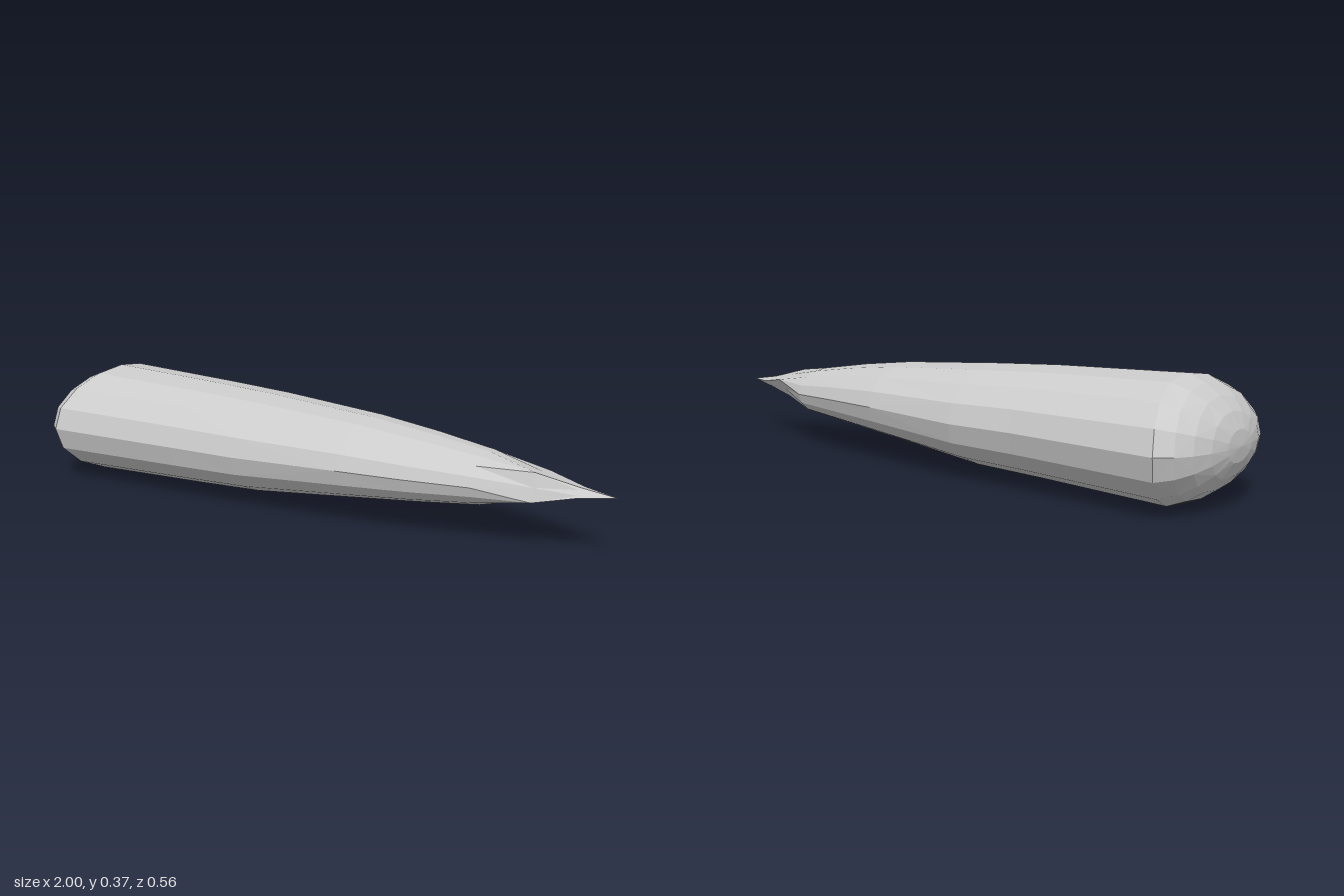
import * as THREE from 'three';

const SIDES = 16;

// Elliptical section from its top, bottom, back and front extents.
// "sweep" pushes the sides toward -x and the top and bottom toward +x.
function ovalRing(x, top, bottom, back, front, sweep = 0) {
  return Array.from({ length: SIDES }, (_, j) => {
    const t = (j / SIDES) * Math.PI * 2;
    return new THREE.Vector3(
      x - sweep * Math.cos(2 * t),
      (top + bottom) / 2 + ((top - bottom) / 2) * Math.sin(t),
      (front + back) / 2 + ((front - back) / 2) * Math.cos(t)
    );
  });
}

// Four-cornered section; corners are [z, y], starting at the upper front.
function quadRing(x, corners) {
  return Array.from({ length: SIDES }, (_, j) => {
    const k = (j + 1 + SIDES - 4) % SIDES;
    const side = Math.floor(k / 4), f = (k % 4) / 4;
    const a = corners[side], b = corners[(side + 1) % 4];
    return new THREE.Vector3(x, a[1] + (b[1] - a[1]) * f, a[0] + (b[0] - a[0]) * f);
  });
}

// Skin consecutive rings; the first and last ring are single points.
function skin(rings) {
  const pos = [];
  const tri = (...pts) => pts.forEach((p) => pos.push(p.x, p.y, p.z));
  for (let i = 0; i < rings.length - 1; i++) {
    for (let j = 0; j < SIDES; j++) {
      const n = (j + 1) % SIDES;
      const a = rings[i][j], b = rings[i][n], c = rings[i + 1][j], d = rings[i + 1][n];
      if (i === 0) tri(b, c, d);
      else if (i === rings.length - 2) tri(a, c, b);
      else if ((i + j) % 2) { tri(a, c, b); tri(b, c, d); }
      else { tri(a, c, d); tri(a, d, b); }
    }
  }
  const geo = new THREE.BufferGeometry();
  geo.setAttribute('position', new THREE.Float32BufferAttribute(pos, 3));
  geo.computeVertexNormals();
  return geo;
}

export function createModel() {
  const group = new THREE.Group();
  group.name = 'taperedSpike';
  const rings = [];

  // Rounded blunt end
  const cy = 0.189;
  for (const [x, s] of [[-1, 0], [-0.995, 0.25], [-0.977, 0.5], [-0.948, 0.71], [-0.91, 0.88], [-0.86, 1]]) {
    rings.push(ovalRing(x, cy + 0.186 * s, cy - 0.186 * s, -0.283 * s, 0.282 * s, 0.03 * s * s));
  }

  // Tapering body: x, top, bottom, back, front
  for (const r of [
    [-0.4, 0.36, 0.017, -0.25, 0.255],
    [-0.17, 0.347, 0.025, -0.244, 0.238],
    [0.2, 0.32, 0.065, -0.207, 0.205],
    [0.4, 0.296, 0.085, -0.177, 0.173],
    [0.6, 0.265, 0.105, -0.14, 0.12],
  ]) rings.push(ovalRing(...r));

  // Chiselled tip
  rings.push(quadRing(0.77, [[0.045, 0.24], [-0.08, 0.215], [-0.03, 0.148], [0.07, 0.155]]));
  rings.push(quadRing(0.89, [[0.01, 0.207], [-0.042, 0.195], [-0.01, 0.17], [0.035, 0.18]]));
  rings.push(ovalRing(1, 0.19, 0.19, 0, 0));

  const spike = new THREE.Mesh(
    skin(rings),
    new THREE.MeshStandardMaterial({ color: 0xcccccc, flatShading: true })
  );
  spike.name = 'spikeBody';
  group.add(spike);
  return group;
}
